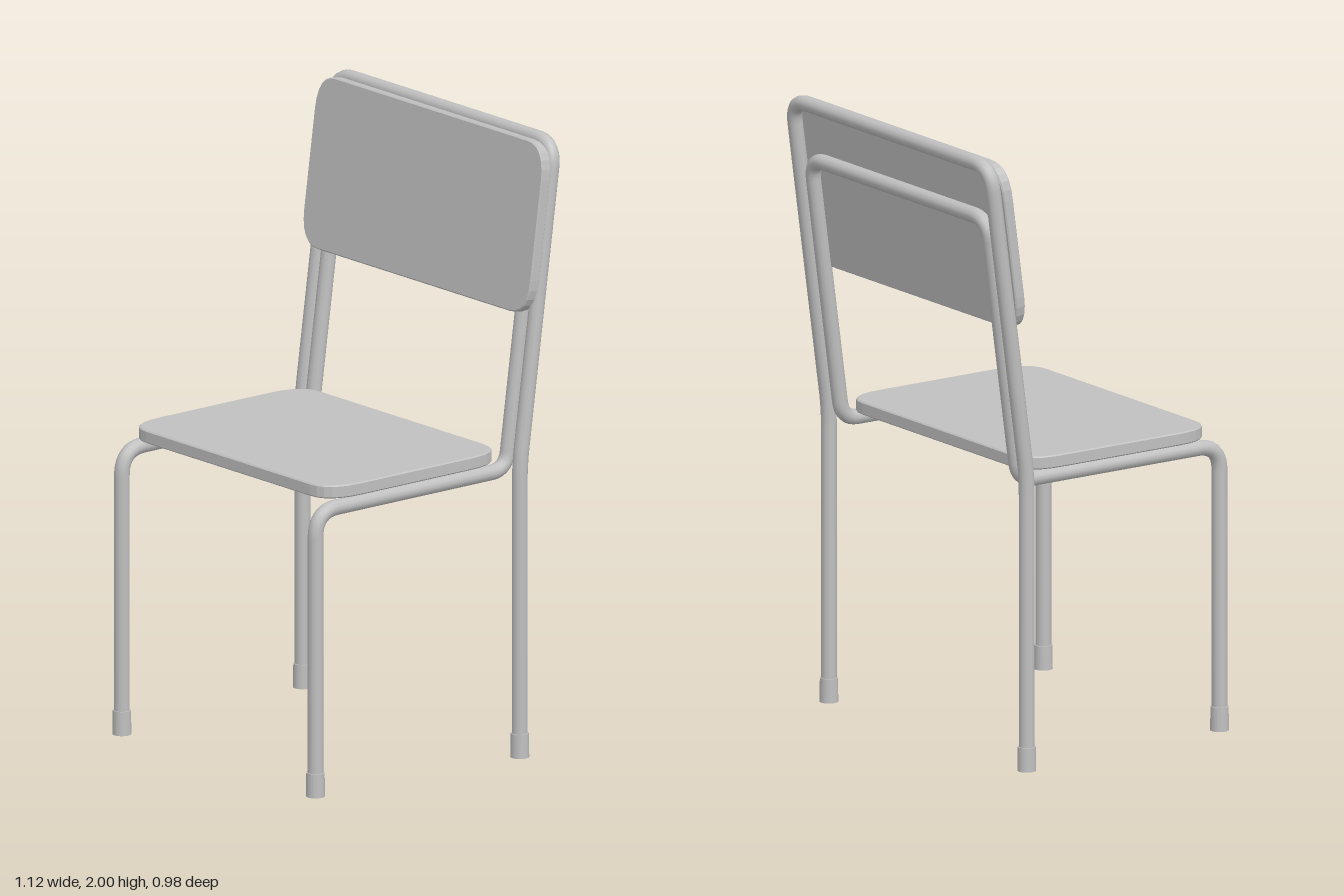
import * as THREE from 'three';

const V = (x, y, z) => new THREE.Vector3(x, y, z);
const TUBE = 0.025;
const LEAN = 0.137; // backward run per unit of height

// Path through corner points, each bend rounded by the given cut length
function bentPath(points, cut) {
  const path = new THREE.CurvePath();
  let from = points[0];
  for (let i = 1; i < points.length - 1; i++) {
    const p = points[i];
    const a = p.clone().add(points[i - 1].clone().sub(p).setLength(cut[i - 1]));
    const b = p.clone().add(points[i + 1].clone().sub(p).setLength(cut[i - 1]));
    path.add(new THREE.LineCurve3(from, a));
    path.add(new THREE.QuadraticBezierCurve3(a, p, b));
    from = b;
  }
  path.add(new THREE.LineCurve3(from, points[points.length - 1]));
  return path;
}

// Rounded board lying in the xy plane, centred on the origin
function board(w, h, depth, rx, ry) {
  const bevel = 0.004, x = w / 2 - bevel, y = h / 2 - bevel;
  const s = new THREE.Shape();
  s.moveTo(-x + rx, -y);
  s.lineTo(x - rx, -y).quadraticCurveTo(x, -y, x, -y + ry);
  s.lineTo(x, y - ry).quadraticCurveTo(x, y, x - rx, y);
  s.lineTo(-x + rx, y).quadraticCurveTo(-x, y, -x, y - ry);
  s.lineTo(-x, -y + ry).quadraticCurveTo(-x, -y, -x + rx, -y);
  const g = new THREE.ExtrudeGeometry(s, {
    depth: depth - 2 * bevel, curveSegments: 6,
    bevelEnabled: true, bevelSize: bevel, bevelThickness: bevel, bevelSegments: 1,
  });
  return g.translate(0, 0, bevel - depth / 2);
}

export function createModel() {
  const chair = new THREE.Group();
  chair.name = 'chair';
  const grey = new THREE.MeshStandardMaterial({ color: 0xc0c0c0 });
  grey.name = 'plain grey';

  const add = (name, geometry, x = 0, y = 0, z = 0) => {
    const mesh = new THREE.Mesh(geometry, grey);
    mesh.name = name;
    mesh.position.set(x, y, z);
    chair.add(mesh);
    return mesh;
  };
  // Mirror half a frame to make one continuous tube
  const frame = (name, half, cuts) => {
    const other = half.map((p) => V(-p.x, p.y, p.z)).reverse();
    const path = bentPath([...half, ...other], [...cuts, ...[...cuts].reverse()]);
    add(name, new THREE.TubeGeometry(path, 400, TUBE, 12, false));
  };

  // Outer frame: rear legs running up into the back hoop
  const ox = 0.532, oz = -0.322, bendY = 0.95;
  frame('outerFrame', [
    V(ox, 0.01, oz), V(ox, bendY, oz), V(ox, 1.975, oz - (1.975 - bendY) * LEAN),
  ], [0.06, 0.08]);

  // Inner frame: front legs, seat rails and lower back hoop
  const ix = 0.474, iz = -0.313, railY = 0.926;
  frame('innerFrame', [
    V(ix, 0.01, 0.465), V(ix, railY, 0.465), V(ix, railY, iz),
    V(ix, 1.79, iz - (1.79 - railY) * LEAN),
  ], [0.085, 0.06, 0.07]);

  // Seat board
  const seat = add('seat', board(0.99, 0.716, 0.042, 0.09, 0.13), -0.006, 0.974, 0.065);
  seat.rotation.x = -Math.PI / 2;

  // Backrest board, tilted with the hoop
  const back = add('backrest', board(1.114, 0.55, 0.036, 0.085, 0.11), -0.003, 1.706, -0.389);
  back.rotation.x = -Math.atan(LEAN);

  // Foot caps
  for (const side of [1, -1]) {
    const foot = () => new THREE.CylinderGeometry(0.029, 0.03, 0.078, 16);
    add('rearFoot', foot(), side * ox, 0.039, oz);
    add('frontFoot', foot(), side * ix, 0.039, 0.465);
  }
  return chair;
}
